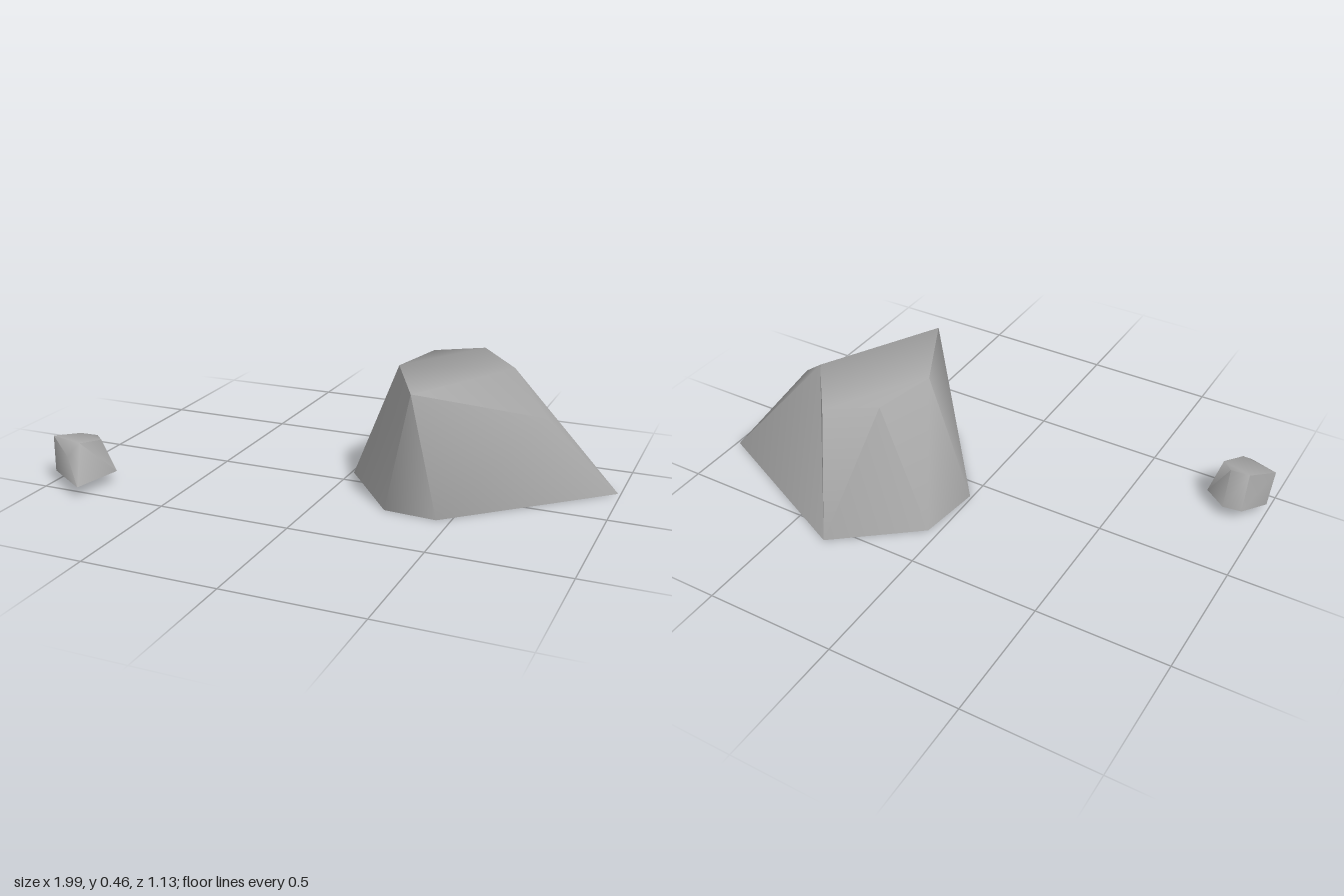
import * as THREE from 'three';
import { toCreasedNormals } from 'three/addons/utils/BufferGeometryUtils.js';

// Hollow faceted boulder: base ring, flat top ring and one shoulder corner
function boulderGeometry() {
  const base = [[0.34, -0.57], [0.99, -0.26], [0.45, 0.235], [0.25, 0.22], [0.01, -0.08], [0.04, -0.33]];
  const top = [[0.42, -0.41], [0.60, -0.18], [0.36, 0.27], [0.20, -0.05], [0.25, -0.30]];
  const points = [
    ...base.map(([x, z]) => [x, 0, z]),      // 0-5
    ...top.map(([x, z]) => [x, 0.46, z]),    // 6-10
    [0.76, 0.32, -0.07],                     // 11 shoulder
  ];
  const faces = [
    // back walls
    [1, 0, 7], [6, 7, 0], [0, 5, 10], [10, 6, 0],
    // left walls around the shoulder
    [2, 1, 11], [11, 1, 7], [2, 11, 8], [11, 7, 8],
    // front and right walls
    [3, 2, 8], [4, 3, 8], [8, 9, 4], [5, 4, 9], [9, 10, 5],
    // flat top
    [9, 8, 7], [9, 7, 6], [9, 6, 10],
  ];
  const geometry = new THREE.BufferGeometry();
  geometry.setAttribute('position', new THREE.Float32BufferAttribute(points.flat(), 3));
  geometry.setIndex(faces.flat());
  return toCreasedNormals(geometry, THREE.MathUtils.degToRad(70));
}

export function createModel() {
  const group = new THREE.Group();
  group.name = 'rocks';
  const stone = new THREE.MeshStandardMaterial({ color: 0xa6a6a6, side: THREE.DoubleSide });
  stone.name = 'grey stone';
  const geometry = boulderGeometry();

  const boulder = new THREE.Mesh(geometry, stone);
  boulder.name = 'largeRock';

  // Small turned copy beside the boulder
  const pebble = new THREE.Mesh(geometry, stone);
  pebble.name = 'smallRock';
  pebble.scale.setScalar(0.283);
  pebble.rotation.y = -1.325;
  pebble.position.set(-0.955, 0.045, 0.306);

  group.add(boulder, pebble);
  return group;
}
